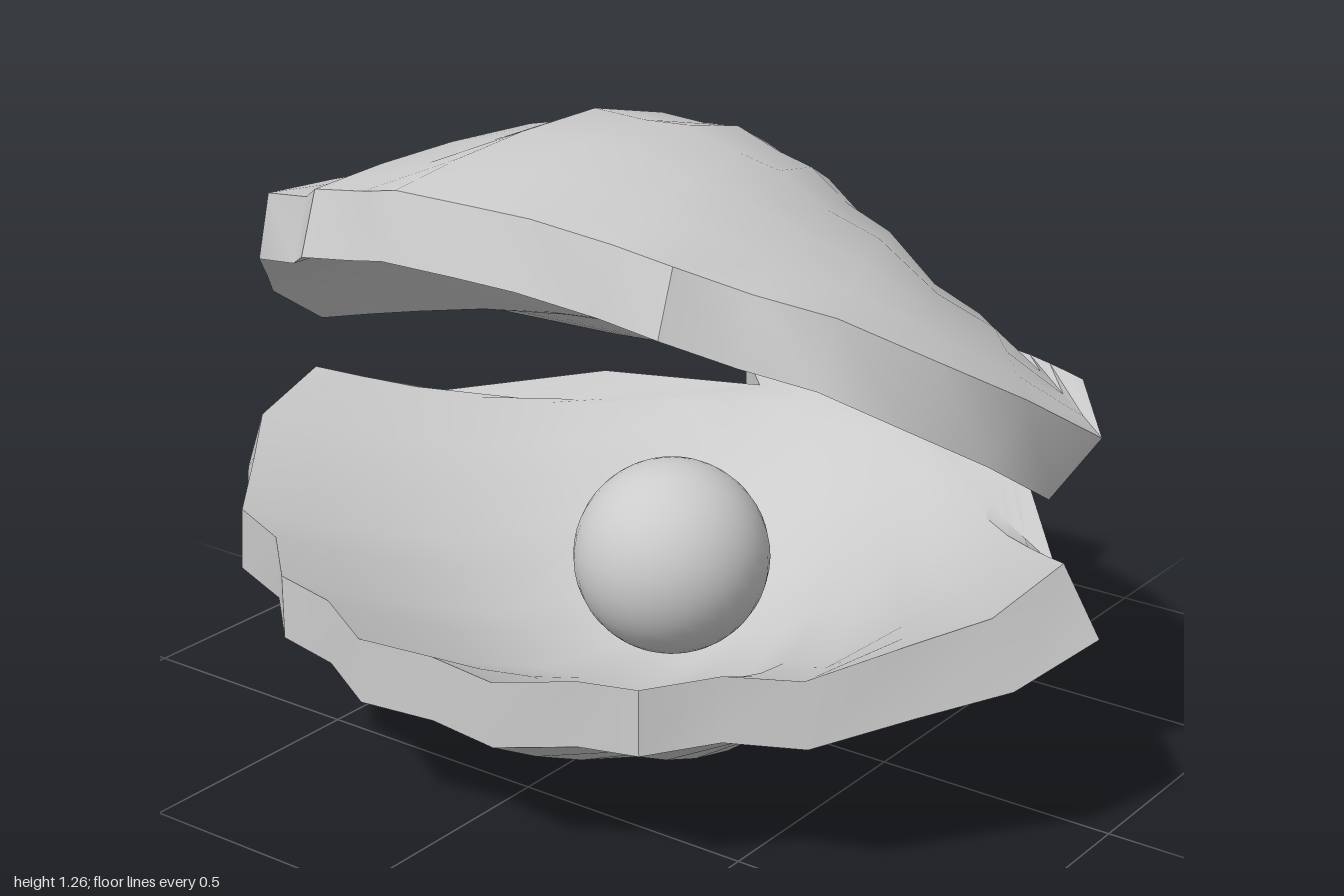
import * as THREE from 'three';
import { toCreasedNormals } from 'three/addons/utils/BufferGeometryUtils.js';

// Rim of half a valve, from the middle of the front to the back corner:
// x, z, y, depth of the bulge, inward lean of the lip
const RIM = [
  [0, 0.77, 0.25, 0.285, 0], [0.16, 0.79, 0.25, 0.29, 0], [0.30, 0.72, 0.265, 0.265, 0],
  [0.43, 0.71, 0.28, 0.255, 0], [0.54, 0.61, 0.30, 0.21, 0], [0.69, 0.56, 0.31, 0.18, 0.01],
  [0.82, 0.41, 0.35, 0.12, 0.03], [0.94, 0.28, 0.385, 0.10, 0.05], [1, 0.08, 0.43, 0.06, 0.08],
  [0.85, -0.09, 0.34, 0.02, 0.04], [0.54, -0.45, 0.35, 0, 0],
];
// Hinge plate rows from the back to the neck: half width, z, y
const HINGE = [[0.30, -0.79, 0.385], [0.335, -0.765, 0.378], [0.33, -0.70, 0.36], [0.23, -0.61, 0.335]];
// Bulge along each rib from neck to rim: position, relative depth
const BULGE = [[0.06, 0.08], [0.18, 0.45], [0.29, 0.76], [0.43, 0.97], [0.52, 1], [0.66, 0.88], [0.79, 0.59], [0.9, 0.3], [1, 0]];
const THICK = 0.13;
const HALF = RIM.length - 1;
const COLS = HALF * 2 + 1;
const ROWS = HINGE.length + BULGE.length;

// One point of the lower valve; layer 0 is the outer skin, 1 the inner
function valvePoint(layer, row, col) {
  const i = col - HALF;
  const side = Math.sign(i);
  const f = Math.abs(i) / HALF;
  const lift = layer * THICK;
  if (row < HINGE.length) {
    const [w, z, y] = HINGE[row];
    return [side * w * f, y + lift, z];
  }
  const [t, depth] = BULGE[row - HINGE.length];
  const [w, z0, y0] = HINGE[HINGE.length - 1];
  const [x, z, y, amp, lean] = RIM[Math.abs(i)];
  const mix = THREE.MathUtils.lerp;
  return [
    side * (mix(w * f, x, t) - layer * lean * t),
    mix(y0, y, t) - amp * depth + lift,
    mix(z0, z, t),
  ];
}

// Closed valve: two skins joined by a wall around the edge
function valveGeometry(place, flip) {
  const pos = [];
  const index = [];
  for (let layer = 0; layer < 2; layer++)
    for (let r = 0; r < ROWS; r++)
      for (let c = 0; c < COLS; c++) pos.push(...place(valvePoint(layer, r, c)));
  const id = (layer, [r, c]) => (layer * ROWS + r) * COLS + c;
  const quad = (a, b, c, d) => (flip ? index.push(a, c, b, a, d, c) : index.push(a, b, c, a, c, d));

  for (let r = 0; r < ROWS - 1; r++)
    for (let c = 0; c < COLS - 1; c++) {
      const q = [[r, c], [r + 1, c], [r + 1, c + 1], [r, c + 1]];
      quad(...q.map((p) => id(1, p)));
      quad(...q.map((p) => id(0, p)).reverse());
    }

  const edge = [];
  for (let c = 0; c < COLS - 1; c++) edge.push([ROWS - 1, c]);
  for (let r = ROWS - 1; r > 0; r--) edge.push([r, COLS - 1]);
  for (let c = COLS - 1; c > 0; c--) edge.push([0, c]);
  for (let r = 0; r < ROWS - 1; r++) edge.push([r, 0]);
  edge.forEach((a, k) => {
    const b = edge[(k + 1) % edge.length];
    quad(id(0, a), id(0, b), id(1, b), id(1, a));
  });

  const g = new THREE.BufferGeometry();
  g.setAttribute('position', new THREE.Float32BufferAttribute(pos, 3));
  g.setIndex(index);
  return toCreasedNormals(g, 0.65);
}

// Upper valve: mirrored upside down and swung open about the back of the hinge
const OPEN = 0.344;
function openUpper([x, y, z]) {
  const h = 0.385 - y;
  const d = z + 0.79;
  const c = Math.cos(OPEN), s = Math.sin(OPEN);
  // the lip of this valve stands straight, so its sides are a little narrower
  return [x * 0.965, 0.55 + d * s + h * c, -0.79 + d * c - h * s];
}

export function createModel() {
  const group = new THREE.Group();
  group.name = 'openShell';
  const material = new THREE.MeshStandardMaterial({ color: 0xcccccc });
  const add = (name, geometry) => {
    const mesh = new THREE.Mesh(geometry, material);
    mesh.name = name;
    group.add(mesh);
    return mesh;
  };

  add('lowerValve', valveGeometry((p) => p, false));
  add('upperValve', valveGeometry(openUpper, true));
  add('pearl', new THREE.SphereGeometry(0.2, 32, 24)).position.set(0, 0.33, 0.03);
  return group;
}
